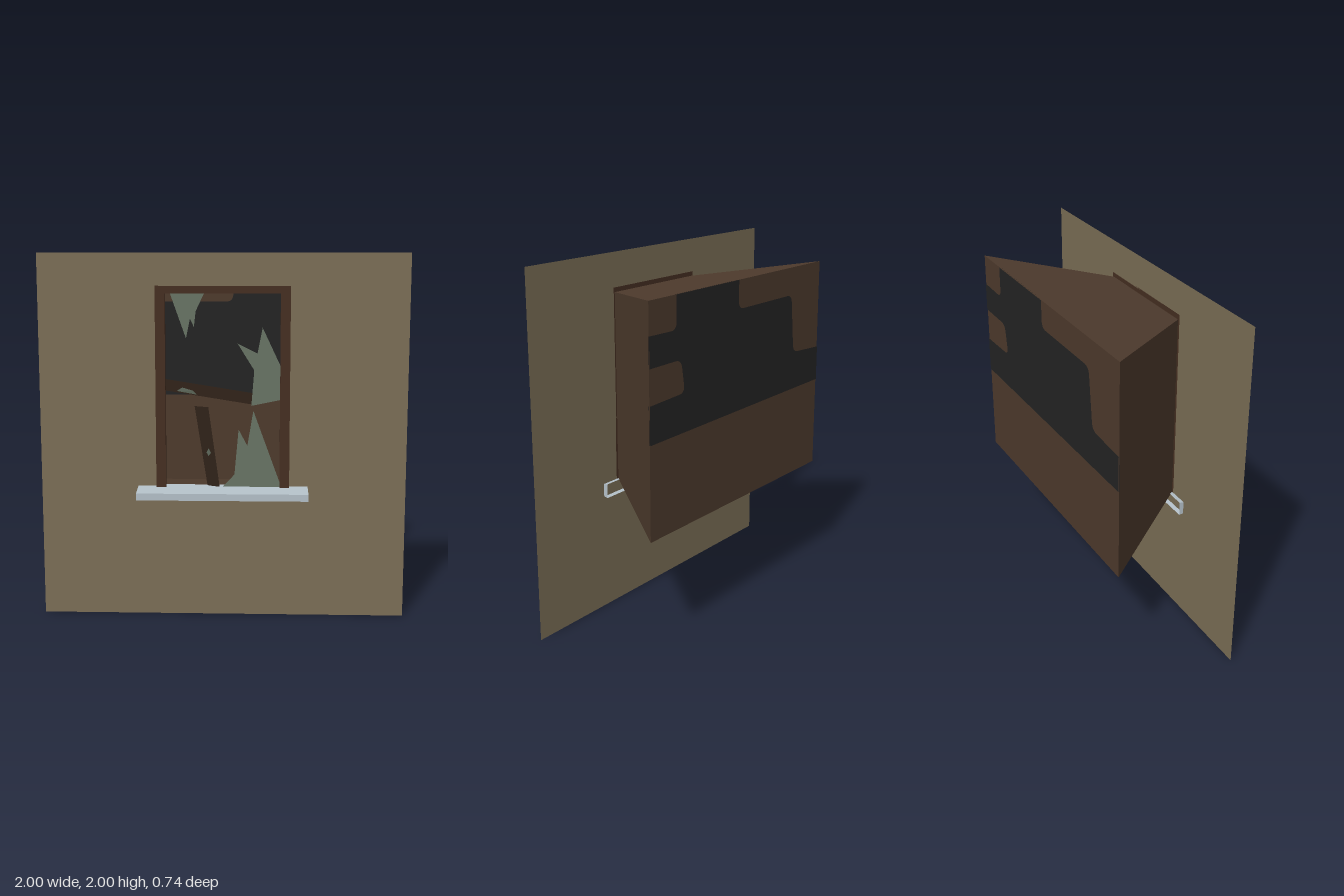
import * as THREE from 'three';

const mat = (name, color, side = THREE.DoubleSide) => {
  const m = new THREE.MeshStandardMaterial({ color, side });
  m.name = name;
  return m;
};

// Flat surface made of four-cornered faces
function quads(list) {
  const pos = [];
  for (const [a, b, c, d] of list) pos.push(...a, ...b, ...c, ...a, ...c, ...d);
  const g = new THREE.BufferGeometry();
  g.setAttribute('position', new THREE.Float32BufferAttribute(pos, 3));
  g.computeVertexNormals();
  return g;
}

// Outline from [x, y] points, with optional rounded corners
function outline(points, r = 0) {
  const p = points.map(([x, y]) => new THREE.Vector2(x, y));
  if (!r) return new THREE.Shape(p);
  const s = new THREE.Shape();
  p.forEach((c, i) => {
    const toward = (q) => c.clone().add(q.clone().sub(c).setLength(Math.min(r, q.distanceTo(c) / 2)));
    const a = toward(p[(i + p.length - 1) % p.length]);
    const b = toward(p[(i + 1) % p.length]);
    if (i) s.lineTo(a.x, a.y); else s.moveTo(a.x, a.y);
    // Corners on the border of the back wall stay square
    if (Math.abs(c.x) > 0.78 || c.y > 1.86) s.lineTo(c.x, c.y);
    else s.quadraticCurveTo(c.x, c.y, b.x, b.y);
    s.lineTo(b.x, b.y);
  });
  s.closePath();
  return s;
}

const rect = (x0, y0, x1, y1) => [[x0, y0], [x1, y0], [x1, y1], [x0, y1]];

export function createModel() {
  const group = new THREE.Group();
  const wallMat = mat('wall plaster', 0x7c6f56);
  const roomMat = mat('room brown', 0x4e3b2d);
  const darkMat = mat('soot black', 0x242424);
  const frameMat = mat('frame wood', 0x462f22);
  const plankMat = mat('plank wood', 0x38291e);
  const glassMat = mat('dusty glass', 0x687465);
  const sillMat = mat('sill stone', 0xb4c0c8);

  const add = (name, geometry, material, z = 0) => {
    const mesh = new THREE.Mesh(geometry, material);
    mesh.name = name;
    mesh.position.z = z;
    group.add(mesh);
    return mesh;
  };

  // Wall with the window opening
  const wall = outline(rect(-1, 0, 1, 2));
  wall.holes.push(new THREE.Path(rect(-0.35, 0.73, 0.35, 1.81).map(([x, y]) => new THREE.Vector2(x, y))));
  add('wall', new THREE.ShapeGeometry(wall), wallMat, 0.225);

  // Room widening away from the window
  const near = rect(-0.342, 0.73, 0.342, 1.785).map(([x, y]) => [x, y, 0.225]);
  const far = rect(-0.79, 0.645, 0.79, 1.87).map(([x, y]) => [x, y, -0.368]);
  const sides = near.map((n, i) => [n, near[(i + 1) % 4], far[(i + 1) % 4], far[i]]);
  add('room', quads([...sides, [far[1], far[0], far[3], far[2]]]), roomMat);

  // Soot stain, on both faces of the room's back wall
  const stain = outline([
    [-0.79, 1.165], [0.79, 1.155], [0.79, 1.355], [0.51, 1.365], [0.54, 1.54], [0.79, 1.54],
    [0.79, 1.7], [0.576, 1.695], [0.576, 1.87], [0.04, 1.87], [0.04, 1.715],
    [-0.485, 1.715], [-0.52, 1.38], [-0.79, 1.365],
  ], 0.045);
  for (const z of [-0.371, -0.364]) add('sootStain', new THREE.ShapeGeometry(stain), darkMat, z);

  // Window frame: two posts and a head, slightly wider at the front
  const frame = new THREE.ExtrudeGeometry(outline([
    [-0.363, 0.73], [-0.31, 0.73], [-0.31, 1.785], [0.31, 1.785], [0.31, 0.73],
    [0.363, 0.73], [0.363, 1.825], [-0.363, 1.825],
  ]), { depth: 0.035, bevelEnabled: false });
  const fp = frame.attributes.position;
  for (let i = 0; i < fp.count; i++) {
    if (fp.getZ(i) > 0.01) continue;
    if (Math.abs(fp.getX(i)) > 0.35) fp.setX(i, Math.sign(fp.getX(i)) * 0.356);
    if (fp.getY(i) > 1.82) fp.setY(i, 1.815);
  }
  frame.computeVertexNormals();
  add('windowFrame', frame, frameMat, 0.225);

  // Sill: tapered to the front, open at the back
  const back = rect(-0.465, 0.655, 0.465, 0.735).map(([x, y]) => [x, y, 0.2]);
  const front = rect(-0.465, 0.678, 0.465, 0.716).map(([x, y]) => [x, y, 0.36]);
  const sillSides = back.map((b, i) => [b, back[(i + 1) % 4], front[(i + 1) % 4], front[i]]);
  add('windowSill', quads([...sillSides, front]), sillMat);

  // Broken panes left in the frame
  const shards = {
    topShard: [[-0.283, 1.785], [-0.198, 1.544], [-0.176, 1.65], [-0.155, 1.605], [-0.145, 1.69], [-0.1, 1.785]],
    sideShard: [[0.31, 1.4], [0.214, 1.603], [0.187, 1.464], [0.08, 1.517], [0.17, 1.373], [0.155, 1.18], [0.31, 1.212]],
    bottomShard: [[0, 0.732], [0.064, 0.8], [0.086, 1.05], [0.134, 0.96], [0.166, 1.153], [0.31, 0.76], [0.31, 0.732]],
  };
  for (const [name, pts] of Object.entries(shards)) {
    add(name, new THREE.ShapeGeometry(outline(pts)), glassMat, 0.24);
  }

  // Leaning plank with a small pale chip
  add('leaningPlank', quads([
    [[-0.085, 0.732, 0.212], [-0.017, 0.732, 0.245], [-0.072, 1.19, 0.37], [-0.147, 1.19, 0.33]],
  ]), plankMat);
  add('plankChip', quads([
    [[-0.075, 0.91, 0.283], [-0.062, 0.93, 0.294], [-0.075, 0.955, 0.294], [-0.087, 0.93, 0.283]],
  ]), glassMat);

  // Fallen crosspiece with a worn patch
  add('crosspiece', quads([
    [[-0.315, 1.26, 0.222], [0.16, 1.185, 0.222], [0.16, 1.25, 0.238], [-0.315, 1.325, 0.238]],
  ]), plankMat);
  add('crosspieceChip', quads([
    [[-0.25, 1.258, 0.229], [-0.14, 1.238, 0.229], [-0.16, 1.26, 0.234], [-0.22, 1.278, 0.234]],
  ]), glassMat);

  return group;
}
